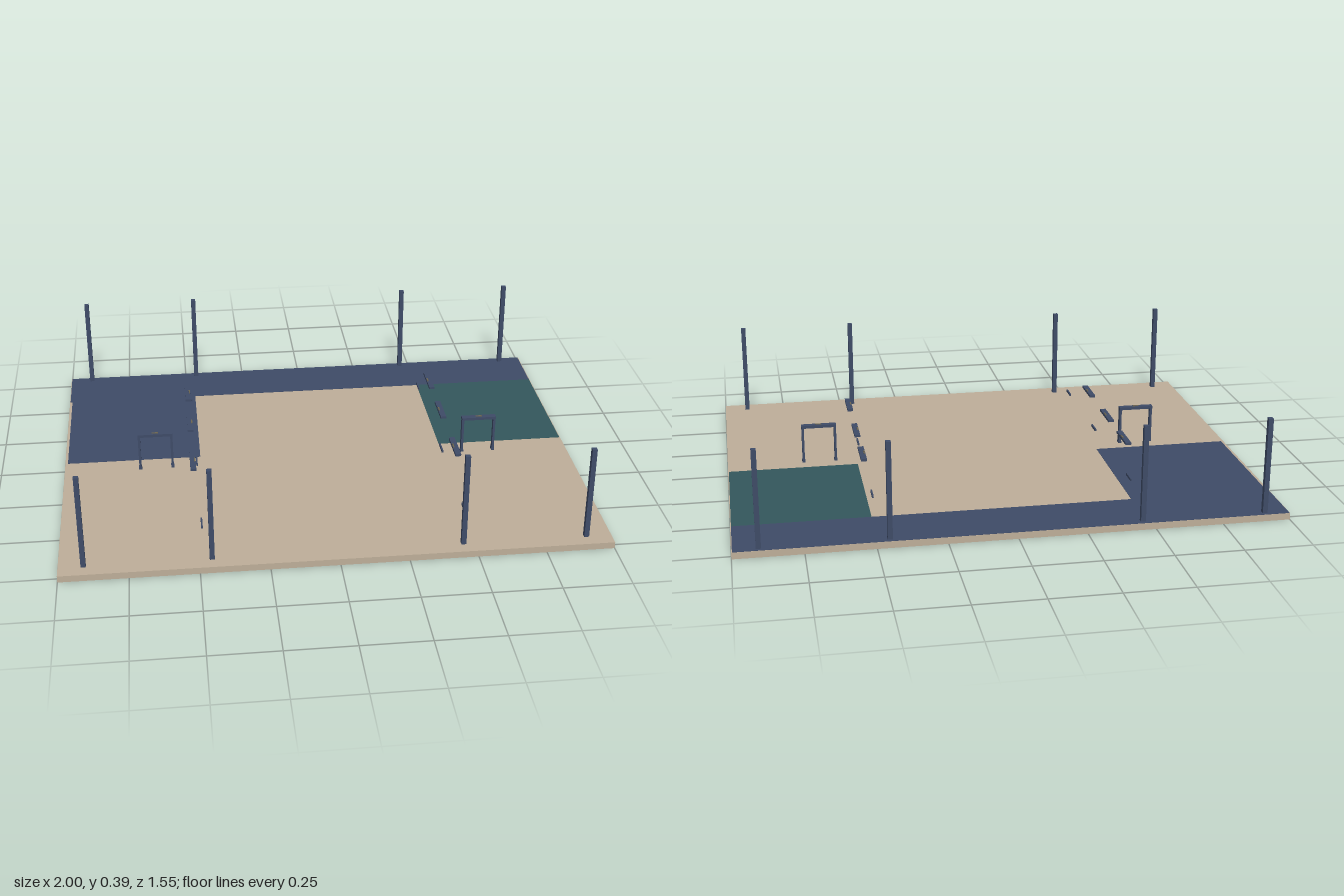
import * as THREE from 'three';

const mat = (name, color) => {
  const m = new THREE.MeshStandardMaterial({ color });
  m.name = name;
  return m;
};

export function createModel() {
  const sand = mat('sand', 0xbeae99);
  const navy = mat('navy', 0x3e4b67);
  const teal = mat('teal', 0x33575c);
  const olive = mat('olive', 0x6d6650);

  const model = new THREE.Group();
  model.name = 'courtyard';
  const top = 0.025;

  // Box given by its extents on each axis
  const box = (name, m, [x0, x1], [y0, y1], [z0, z1], parent = model) => {
    const mesh = new THREE.Mesh(new THREE.BoxGeometry(x1 - x0, y1 - y0, z1 - z0), m);
    mesh.position.set((x0 + x1) / 2, (y0 + y1) / 2, (z0 + z1) / 2);
    mesh.name = name;
    parent.add(mesh);
    return mesh;
  };
  const around = (c, size) => [c - size / 2, c + size / 2];

  // Floor slab and thin coloured floor areas
  box('floorSlab', sand, [-1, 1], [0, top], [-0.773, 0.773]);
  const paint = [top, top + 0.001];
  box('backFloorArea', navy, [-0.998, 0.997], paint, [-0.772, -0.55]);
  box('rightFloorArea', navy, [-0.99, -0.467], paint, [-0.55, -0.02]);
  box('leftFloorArea', teal, [0.497, 0.997], paint, [-0.55, -0.02]);

  // Tall posts in two rows
  for (const x of [-0.91, -0.455, 0.453, 0.907])
    for (const z of [-0.75, 0.717])
      box('tallPost', navy, around(x, 0.018), [top, 0.388], around(z, 0.018));

  for (const s of [-1, 1]) {
    // Upper bars with a small raised grip
    for (const z of [-0.295, -0.035, 0.27]) {
      box('upperBar', navy, around(s * 0.502, 0.022), [0.168, 0.177], around(z, 0.135));
      box('barGrip', olive, around(s * 0.495, 0.005), [0.177, 0.18], around(z, 0.025));
    }

    // Slim lower bars
    for (const z of [-0.45, 0.1, 0.555])
      box('lowerBar', navy, around(s * 0.484, 0.006), [0.069, 0.078], around(z, 0.062));

    // Door frame standing on the floor
    const frame = new THREE.Group();
    frame.name = 'doorFrame';
    model.add(frame);
    const z = 0.044;
    box('frameBeam', navy, around(s * 0.641, 0.136), [0.166, 0.177], around(z, 0.023), frame);
    box('frameGrip', olive, around(s * 0.641, 0.025), [0.177, 0.18], around(z, 0.005), frame);
    for (const x of [0.578, 0.704]) {
      box('framePost', navy, around(s * x, 0.009), [top, 0.166], around(z, 0.018), frame);
      box('frameFoot', navy, around(s * x, 0.012), [top, top + 0.008], around(z, 0.022), frame);
    }
  }
  return model;
}
